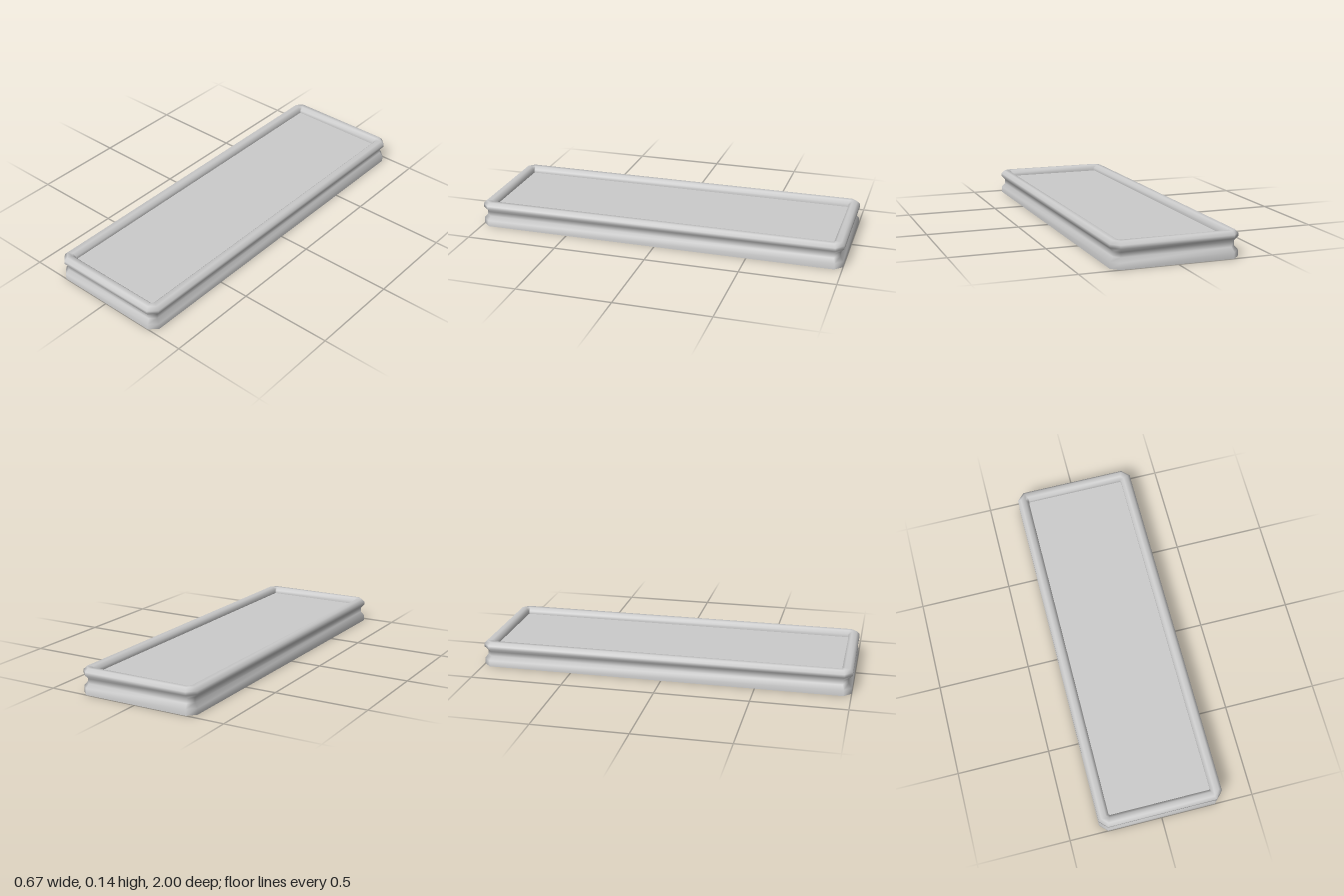
import * as THREE from 'three';

const HALF_W = 0.333, HALF_L = 1, CORNER = 0.04;

// Rectangle with cut corners, inset by d; the cuts shrink as the outline moves in
function outline(d) {
  const w = HALF_W - d, l = HALF_L - d;
  const c = Math.max(CORNER - d * (2 - Math.SQRT2), 0.003);
  return [
    [w, c - l], [w, l - c], [w - c, l], [c - w, l],
    [-w, l - c], [-w, c - l], [c - w, -l], [w - c, -l],
  ];
}

// Sweep a profile of [inset, height] points around the outline
function sweepFrame(profile) {
  const positions = [], index = [];
  profile.forEach(([d, y], i) => {
    outline(d).forEach(([x, z], j) => {
      positions.push(x, y, z);
      if (i === profile.length - 1) return;
      const a = i * 8 + j, b = i * 8 + (j + 1) % 8;
      index.push(a, a + 8, b, b, a + 8, b + 8);
    });
  });
  const geometry = new THREE.BufferGeometry();
  geometry.setAttribute('position', new THREE.Float32BufferAttribute(positions, 3));
  geometry.setIndex(index);
  geometry.computeVertexNormals();
  return geometry;
}

export function createModel() {
  const group = new THREE.Group();
  const material = new THREE.MeshStandardMaterial({ color: 0xcccccc, side: THREE.DoubleSide });

  // Hollow moulded frame: skirt, groove, bevelled rim, inner lip; open underneath
  const frame = new THREE.Mesh(sweepFrame([
    [0, 0], [0, 0.033], [0.018, 0.055], [0.018, 0.08], [0, 0.1],
    [0, 0.118], [0.016, 0.135], [0.042, 0.135], [0.058, 0.118], [0.058, 0.1],
  ]), material);
  frame.name = 'frame';
  group.add(frame);

  // Flat recessed panel just below the rim
  const panel = new THREE.Mesh(
    new THREE.PlaneGeometry(2 * (HALF_W - 0.058), 2 * (HALF_L - 0.058)).rotateX(-Math.PI / 2),
    material,
  );
  panel.position.y = 0.1;
  panel.name = 'panel';
  group.add(panel);

  return group;
}
